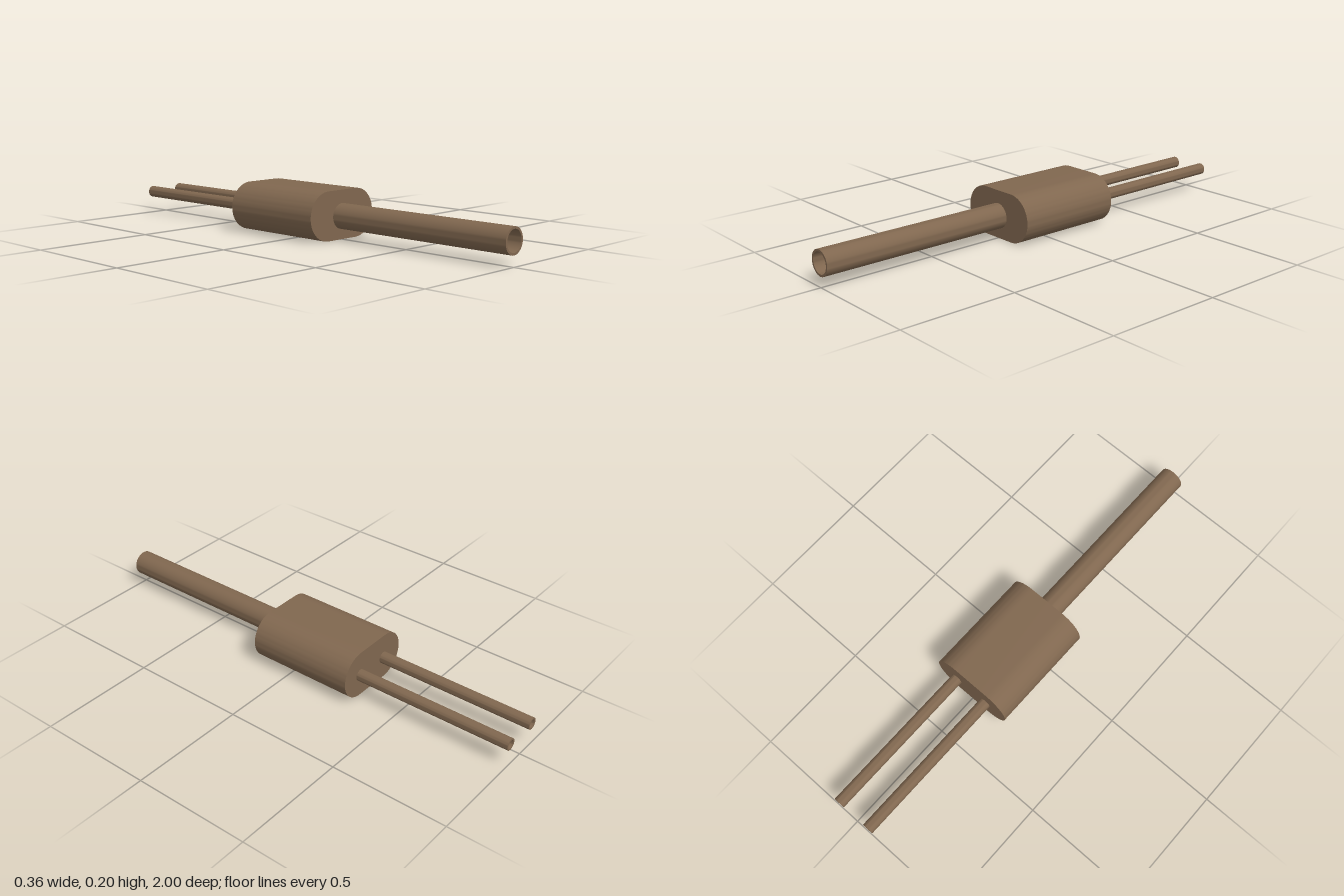
import * as THREE from 'three';
import { toCreasedNormals } from 'three/addons/utils/BufferGeometryUtils.js';

const BODY_BACK = -0.31, BODY_FRONT = 0.16;

// Extrudes a shape along z between two depths, smooth round the curve and sharp at the ends
function extrudeZ(shape, z0, z1) {
  const geometry = new THREE.ExtrudeGeometry(shape, { depth: z1 - z0, bevelEnabled: false, curveSegments: 20 });
  geometry.translate(0, 0, z0);
  return toCreasedNormals(geometry, 0.6);
}

// Stadium outline: two half circles joined by straight runs
function stadium(halfWidth, radius) {
  const run = halfWidth - radius;
  const shape = new THREE.Shape();
  shape.moveTo(-run, -radius);
  shape.lineTo(run, -radius);
  shape.absarc(run, 0, radius, -Math.PI / 2, Math.PI / 2, false);
  shape.lineTo(-run, radius);
  shape.absarc(-run, 0, radius, Math.PI / 2, Math.PI * 1.5, false);
  return shape;
}

// Ring outline for a hollow tube
function ring(outer, inner) {
  const shape = new THREE.Shape();
  shape.absarc(0, 0, outer, 0, Math.PI * 2, false);
  const hole = new THREE.Path();
  hole.absarc(0, 0, inner, 0, Math.PI * 2, true);
  shape.holes.push(hole);
  return shape;
}

export function createModel() {
  const model = new THREE.Group();
  model.name = 'splitterFitting';
  const brown = new THREE.MeshStandardMaterial({ color: 0x80674f });
  brown.name = 'brown';

  const add = (name, geometry, x, y) => {
    const mesh = new THREE.Mesh(geometry, brown);
    mesh.name = name;
    mesh.position.set(x, y, 0);
    model.add(mesh);
  };

  // Solid rounded block
  add('body', extrudeZ(stadium(0.182, 0.102), BODY_BACK, BODY_FRONT), 0, 0.102);

  // One wide tube at the front
  add('frontTube', extrudeZ(ring(0.053, 0.044), BODY_FRONT, 1), 0, 0.096);

  // Two narrow tubes at the back
  const backTube = extrudeZ(ring(0.025, 0.018), -1, BODY_BACK);
  add('backTubeLeft', backTube, 0.082, 0.098);
  add('backTubeRight', backTube, -0.074, 0.098);

  return model;
}
